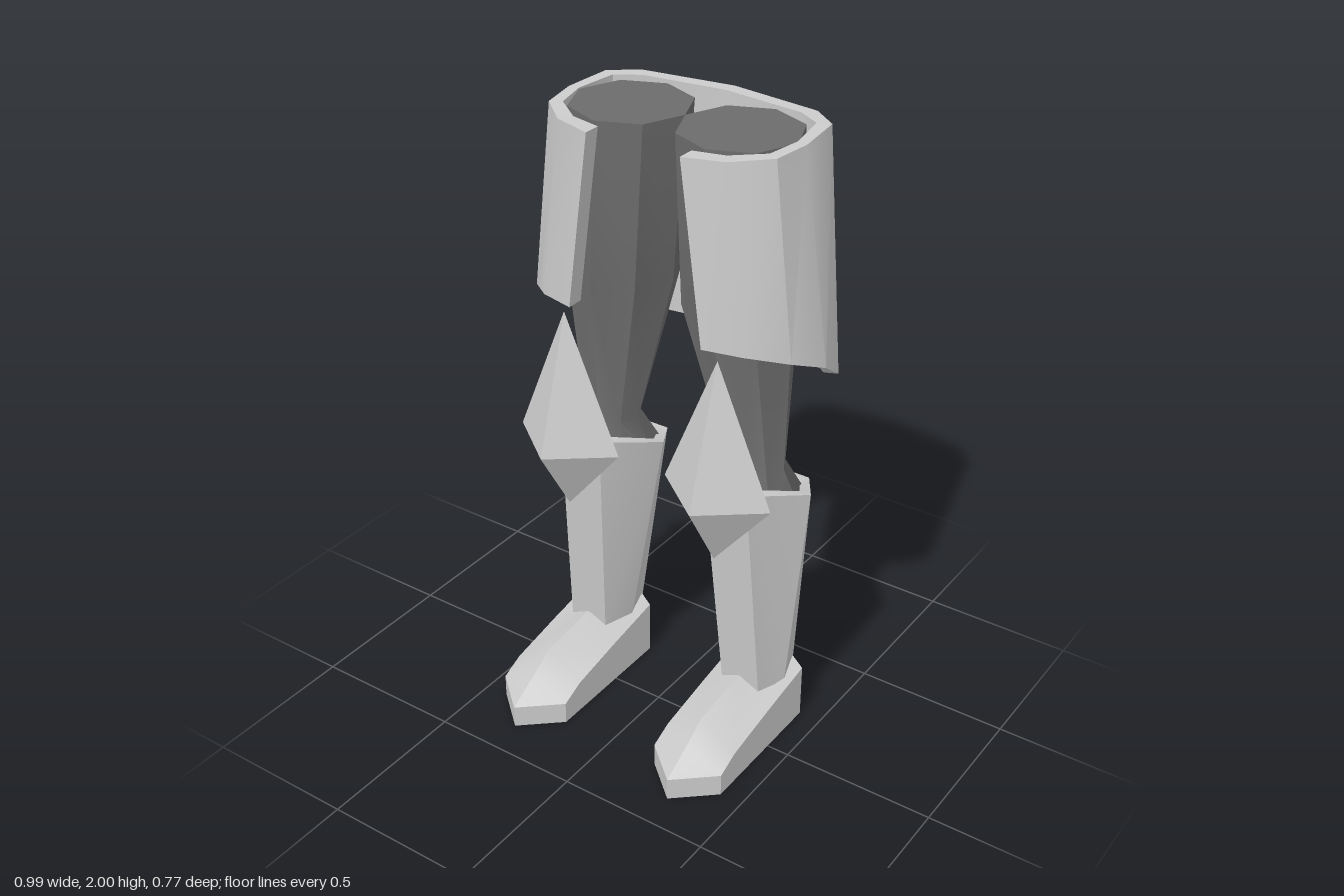
import * as THREE from 'three';
import { toCreasedNormals } from 'three/addons/utils/BufferGeometryUtils.js';

const grey = new THREE.MeshStandardMaterial({ color: 0xcccccc });
const dark = new THREE.MeshStandardMaterial({ color: 0x6c6c6c });

// Skin a list of equal-sized rings of [x, y, z]; loop joins last to first, otherwise ends are capped.
function loft(name, rings, material, loop = false) {
  const tris = [];
  const n = rings[0].length;
  const v = (p) => new THREE.Vector3(...p);
  const add = (a, b, c) => {
    const t = new THREE.Triangle(v(a), v(b), v(c));
    if (t.getArea() > 1e-7) tris.push(t);
  };
  const spans = loop ? rings.length : rings.length - 1;
  for (let i = 0; i < spans; i++) {
    const a = rings[i], b = rings[(i + 1) % rings.length];
    for (let j = 0; j < n; j++) {
      const k = (j + 1) % n;
      add(a[j], a[k], b[k]);
      add(a[j], b[k], b[j]);
    }
  }
  if (!loop) {
    const first = rings[0], last = rings[rings.length - 1];
    for (let j = 1; j < n - 1; j++) {
      add(first[0], first[j + 1], first[j]);
      add(last[0], last[j], last[j + 1]);
    }
  }
  // Turn all faces outward, whichever way the rings run
  const cross = new THREE.Vector3();
  const volume = tris.reduce((s, t) => s + t.a.dot(cross.crossVectors(t.b, t.c)), 0);
  const points = tris.flatMap((t) => (volume > 0 ? [t.a, t.b, t.c] : [t.a, t.c, t.b]));
  const geometry = new THREE.BufferGeometry().setFromPoints(points);
  const mesh = new THREE.Mesh(toCreasedNormals(geometry, 0.52), material);
  mesh.name = name;
  return mesh;
}

// Thick armoured skirt, open at the front
function makeSkirt() {
  // outer z, outer x at top, outer x at hem, hem y, inner x at top, inner z, top y
  const half = [
    [0.125, 0.155, 0.23, 1.43, 0.155, 0.07, 1.985],
    [0.09, 0.28, 0.35, 1.425, 0.255, 0.05, 1.987],
    [0.0, 0.38, 0.45, 1.395, 0.345, -0.02, 1.99],
    [-0.12, 0.4, 0.495, 1.345, 0.367, -0.125, 1.995],
    [-0.28, 0.385, 0.45, 1.24, 0.345, -0.262, 2],
    [-0.345, 0.3, 0.37, 1.245, 0.27, -0.308, 2],
    [-0.385, 0, 0, 1.255, 0, -0.34, 2],
  ];
  const section = (s) => ([zo, xt, xb, yb, xi, zi, yt]) => [
    [s * xt, yt, zo], [s * xi, yt, zi], [s * (xb - xt + xi), yb, zi], [s * xb, yb, zo],
  ];
  const rings = [...half.map(section(1)), ...half.slice(0, -1).reverse().map(section(-1))];
  return loft('skirt', rings, grey);
}

function makeLeg(s) {
  const leg = new THREE.Group();
  leg.name = s > 0 ? 'leftLeg' : 'rightLeg';

  // Octagonal inner leg: y, centre x, centre z, radius x, radius z
  const limb = [
    [1.99, 0.185, -0.13, 0.185, 0.183],
    [1.48, 0.205, -0.12, 0.175, 0.175],
    [0.95, 0.268, -0.135, 0.095, 0.078],
    [0.82, 0.268, -0.16, 0.14, 0.14],
    [0.19, 0.3, -0.13, 0.07, 0.075],
  ].map(([y, cx, cz, rx, rz]) => Array.from({ length: 8 }, (_, i) => {
    const a = (i * Math.PI) / 4;
    return [s * (cx + rx * Math.cos(a)), y, cz + rz * Math.sin(a)];
  }));
  leg.add(loft('innerLeg', limb, dark));

  // Hexagonal hollow shin guard with a rim sloping to the back
  const hex = (cx, cz, rx, rz, flat, yFront, ySide, yBack) => [
    [rx, ySide, 0], [flat, yFront, rz], [-flat, yFront, rz],
    [-rx, ySide, 0], [-flat, yBack, -rz], [flat, yBack, -rz],
  ].map(([x, y, z]) => [s * (cx + x), y, cz + z]);
  leg.add(loft('shinGuard', [
    hex(0.3, -0.13, 0.1, 0.107, 0.068, 0.18, 0.17, 0.18),
    hex(0.268, -0.143, 0.187, 0.185, 0.075, 0.94, 0.89, 0.815),
    hex(0.268, -0.143, 0.15, 0.15, 0.06, 0.94, 0.89, 0.815),
    hex(0.3, -0.13, 0.07, 0.075, 0.05, 0.18, 0.17, 0.18),
  ], grey, true));

  // Diamond knee guard
  const diamond = [[1.395, 0], [0.95, 1], [0.725, 0]].map(([y, k]) =>
    [[0.185, 0], [0, 0.145], [-0.185, 0], [0, -0.15]].map(([x, z]) =>
      [s * (0.27 + k * x), y, (k ? 0.09 : 0.1) + k * z]));
  leg.add(loft('kneeGuard', diamond, grey));

  // Ridged boot, pointed at toe and heel: z, half width, side height, ridge height
  const boot = [
    [0.385, 0, 0.075, 0.075],
    [0.275, 0.125, 0.075, 0.14],
    [0.2, 0.125, 0.11, 0.19],
    [0, 0.125, 0.15, 0.215],
    [-0.2, 0.125, 0.185, 0.213],
    [-0.265, 0, 0.21, 0.21],
  ].map(([z, w, side, ridge]) => [
    [w, 0], [w, side], [0, ridge], [-w, side], [-w, 0],
  ].map(([x, y]) => [s * (0.3 + x), y, z]));
  leg.add(loft('boot', boot, grey));
  return leg;
}

export function createModel() {
  const model = new THREE.Group();
  model.name = 'armouredLegs';
  model.add(makeSkirt(), makeLeg(1), makeLeg(-1));
  return model;
}
